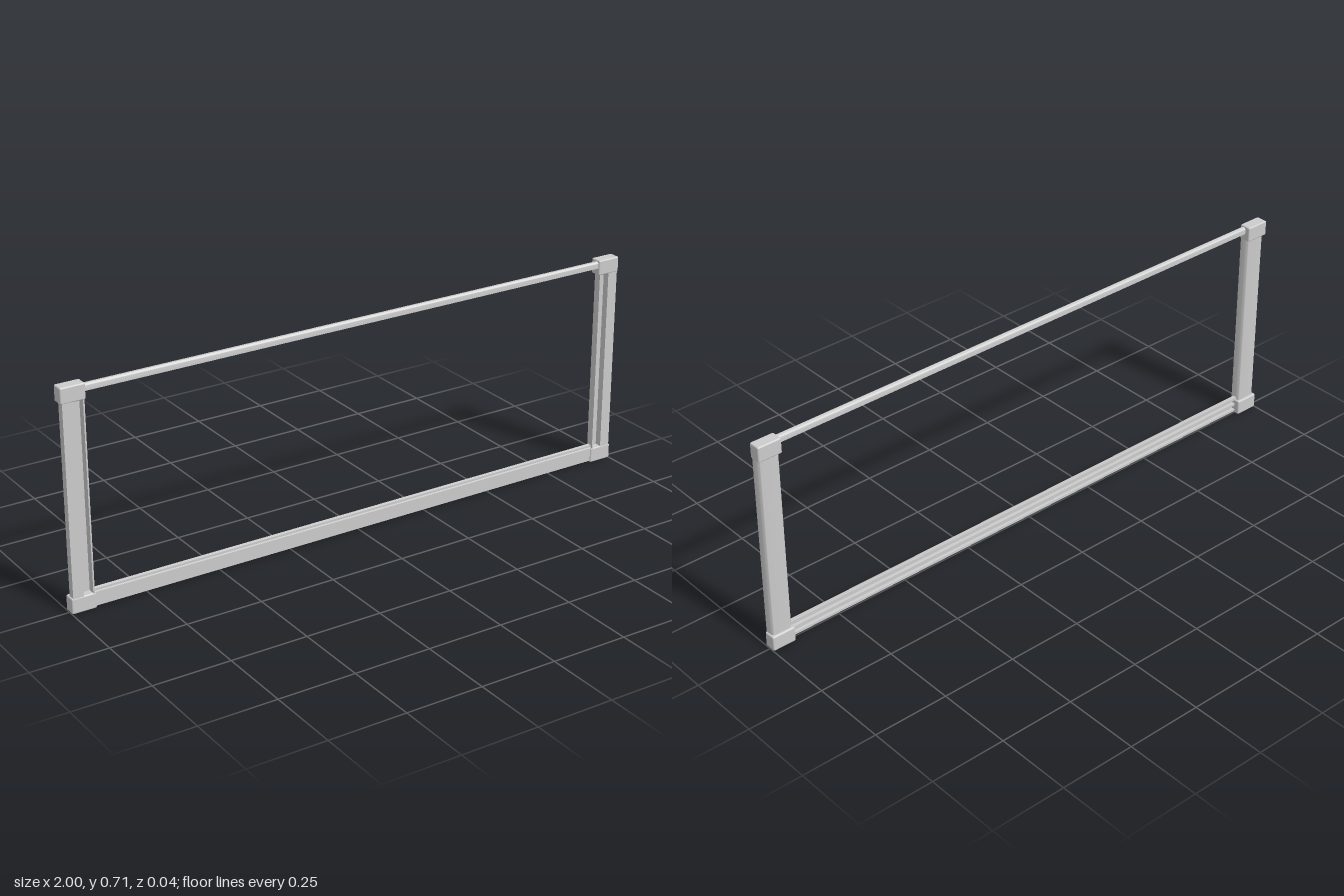
import * as THREE from 'three';
import { toCreasedNormals } from 'three/addons/utils/BufferGeometryUtils.js';
import { RoundedBoxGeometry } from 'three/addons/geometries/RoundedBoxGeometry.js';

const material = new THREE.MeshStandardMaterial({ color: 0xcccccc });

// Straight bar of constant section, running from 0 to length along local z
function bar(name, shape, length) {
  const geometry = new THREE.ExtrudeGeometry(shape, { depth: length, bevelEnabled: false, curveSegments: 6 });
  const mesh = new THREE.Mesh(toCreasedNormals(geometry, 0.6), material);
  mesh.name = name;
  return mesh;
}

// Rail running along x; its section is drawn in (-z, y)
function rail(name, shape) {
  const mesh = bar(name, shape, 1.86);
  mesh.rotation.y = Math.PI / 2;
  mesh.position.x = -0.93;
  return mesh;
}

// Upright section in (x, -z): rounded back, solid outer front, slot on the inner side
function postShape(s) {
  const p = new THREE.Shape();
  p.moveTo(s * 0.995, -0.019);
  p.lineTo(s * 0.995, 0.003);
  p.quadraticCurveTo(s * 0.994, 0.012, s * 0.983, 0.012);
  p.lineTo(s * 0.937, 0.012);
  p.quadraticCurveTo(s * 0.926, 0.012, s * 0.925, 0.003);
  p.lineTo(s * 0.925, -0.019);
  p.lineTo(s * 0.93, -0.019);
  p.lineTo(s * 0.93, 0.004);
  p.lineTo(s * 0.96, 0.004);
  p.lineTo(s * 0.96, -0.019);
  p.closePath();
  return p;
}

// Slim top rail: rounded over the top, with a slot underneath
function topShape() {
  const p = new THREE.Shape();
  p.moveTo(-0.015, 0.685);
  p.lineTo(-0.015, 0.7);
  p.quadraticCurveTo(-0.014, 0.707, -0.006, 0.707);
  p.quadraticCurveTo(0.002, 0.707, 0.003, 0.7);
  p.lineTo(0.003, 0.685);
  p.lineTo(-0.001, 0.685);
  p.lineTo(-0.001, 0.698);
  p.lineTo(-0.011, 0.698);
  p.lineTo(-0.011, 0.685);
  p.closePath();
  return p;
}

// Bottom rail: flat front, set-back lip on top, two grooves at the back
function bottomShape() {
  return new THREE.Shape([
    [-0.016, 0.006], [-0.016, 0.051], [-0.011, 0.053], [-0.011, 0.06],
    [0.002, 0.06], [0.002, 0.05], [-0.009, 0.05], [-0.009, 0.037],
    [0.002, 0.037], [0.002, 0.028], [-0.009, 0.028], [-0.009, 0.014],
    [0.002, 0.014], [0.002, 0.006],
  ].map(([a, b]) => new THREE.Vector2(a, b)));
}

export function createModel() {
  const group = new THREE.Group();
  group.name = 'frame';
  group.add(rail('topRail', topShape()), rail('bottomRail', bottomShape()));

  for (const s of [-1, 1]) {
    const side = s > 0 ? 'left' : 'right';
    const post = bar(side + 'Post', postShape(s), 0.64);
    post.rotation.x = -Math.PI / 2;
    post.position.y = 0.035;
    group.add(post);

    // Corner caps
    for (const [level, y] of [['Bottom', 0.0255], ['Top', 0.6865]]) {
      const cap = new THREE.Mesh(new RoundedBoxGeometry(0.08, 0.051, 0.04, 3, 0.005), material);
      cap.name = side + level + 'Cap';
      cap.position.set(s * 0.96, y, 0);
      group.add(cap);
    }
  }
  return group;
}
